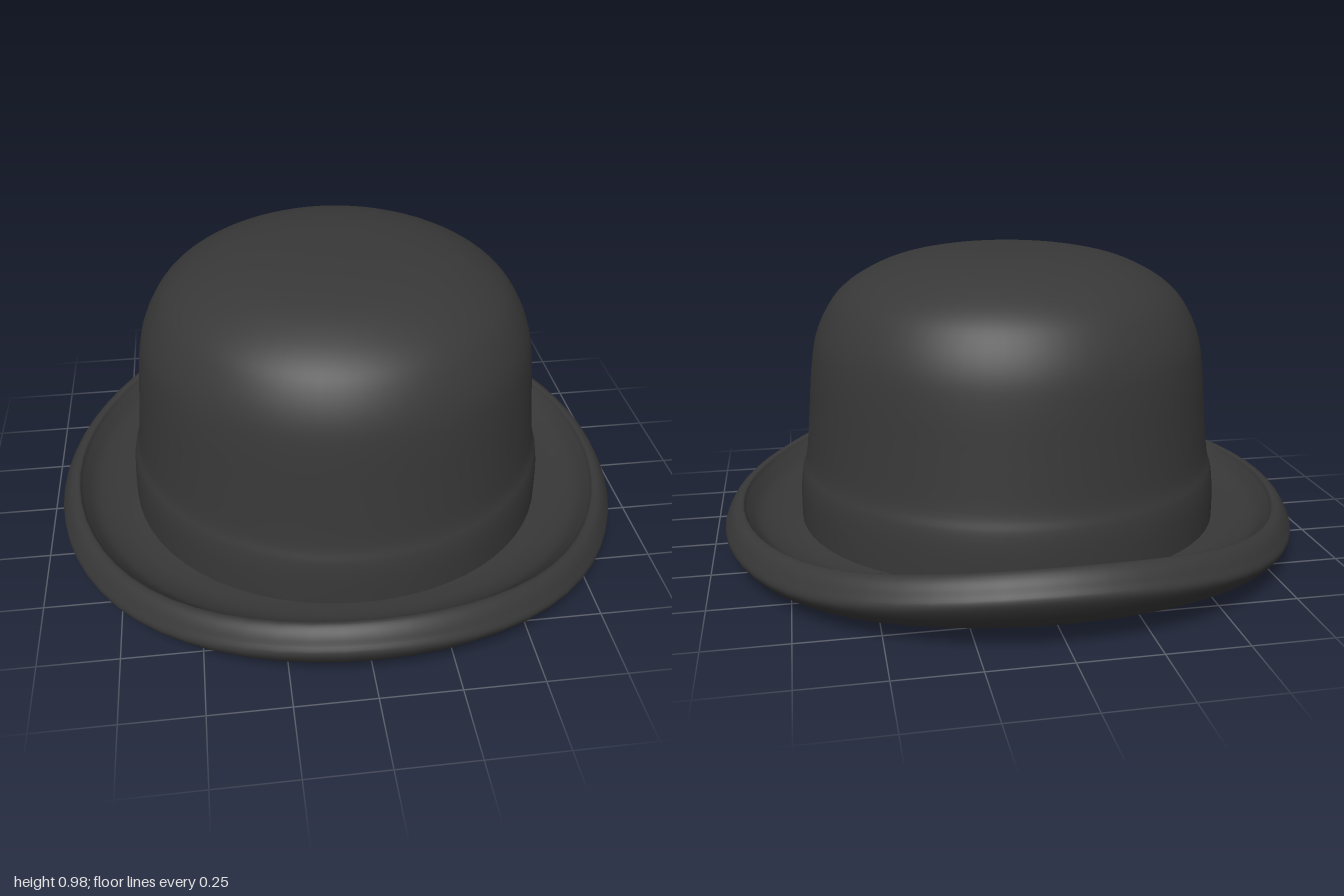
import * as THREE from 'three';
import { mergeVertices } from 'three/addons/utils/BufferGeometryUtils.js';

const SEGMENTS = 64;

// Smooth profile through [radius, height] pairs
function profile(pairs, divisions) {
  const curve = new THREE.SplineCurve(pairs.map(([r, y]) => new THREE.Vector2(r, y)));
  return curve.getPoints(divisions).map((p) => new THREE.Vector2(Math.max(p.x, 0), p.y));
}

// Weld the seam so that the shading runs all the way round
function weld(geometry) {
  geometry.deleteAttribute('uv');
  geometry.deleteAttribute('normal');
  const welded = mergeVertices(geometry, 1e-5);
  welded.computeVertexNormals();
  return welded;
}

function lathe(name, points, material) {
  const mesh = new THREE.Mesh(weld(new THREE.LatheGeometry(points, SEGMENTS)), material);
  mesh.name = name;
  return mesh;
}

// Brim whose section changes from the sides to the raised front and back
function brimGeometry(sidePairs, frontPairs) {
  const n = 56;
  const side = profile(sidePairs, n);
  const front = profile(frontPairs, n);
  const geometry = new THREE.LatheGeometry(side, SEGMENTS);
  const pos = geometry.attributes.position;
  for (let i = 0; i <= SEGMENTS; i++) {
    const angle = (i / SEGMENTS) * Math.PI * 2;
    const s = Math.sin(angle), c = Math.cos(angle);
    for (let j = 0; j <= n; j++) {
      const r = THREE.MathUtils.lerp(side[j].x, front[j].x, c * c);
      const y = THREE.MathUtils.lerp(side[j].y, front[j].y, c ** 4);
      pos.setXYZ(i * (n + 1) + j, r * s, y, r * c);
    }
  }
  return weld(geometry);
}

export function createModel() {
  const hat = new THREE.Group();
  hat.name = 'bowlerHat';
  const felt = new THREE.MeshStandardMaterial({ color: 0x383838 });
  felt.name = 'charcoal felt';

  // Domed crown, swelling softly into a band at its base
  hat.add(lathe('crown', profile([
    [0.706, 0.06], [0.705, 0.18], [0.698, 0.25], [0.682, 0.31], [0.668, 0.45], [0.655, 0.6], [0.637, 0.7],
    [0.6, 0.785], [0.55, 0.85], [0.47, 0.905], [0.36, 0.95], [0.2, 0.978], [0, 0.985],
  ], 52), felt));

  // Hollow inside of the crown, facing inwards
  hat.add(lathe('lining', profile([
    [0, 0.942], [0.2, 0.935], [0.345, 0.907], [0.445, 0.867], [0.522, 0.813], [0.57, 0.755],
    [0.605, 0.68], [0.622, 0.58], [0.635, 0.45], [0.648, 0.3], [0.66, 0.18], [0.667, 0.07],
  ], 40), felt));

  // Brim with a rolled edge, from the opening underneath round to the top
  const brim = new THREE.Mesh(brimGeometry(
    [[0.667, 0.07], [0.687, 0.026], [0.75, 0.007], [0.83, 0.004], [0.91, 0.024], [0.96, 0.07],
      [0.951, 0.112], [0.928, 0.146], [0.902, 0.155], [0.888, 0.138], [0.845, 0.102],
      [0.77, 0.085], [0.69, 0.09]],
    [[0.667, 0.07], [0.687, 0.03], [0.75, 0.016], [0.84, 0.036], [0.94, 0.097], [0.998, 0.177],
      [0.985, 0.215], [0.963, 0.244], [0.936, 0.256], [0.91, 0.226], [0.85, 0.152],
      [0.78, 0.111], [0.69, 0.1]],
  ), felt);
  brim.name = 'brim';
  hat.add(brim);

  return hat;
}
